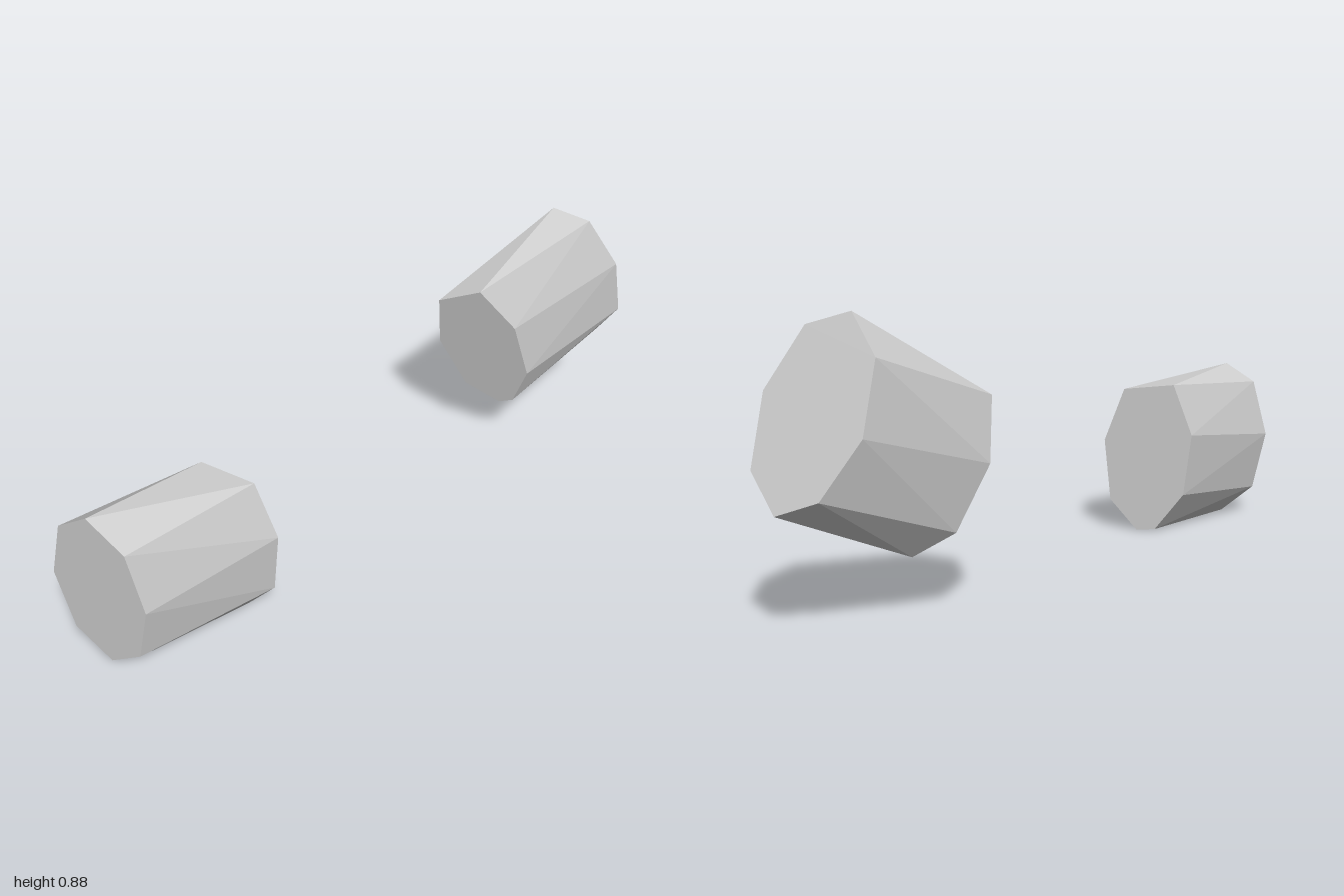
import * as THREE from 'three';

const material = new THREE.MeshStandardMaterial({ color: 0xcccccc, flatShading: true });

// Outline points [x, y] placed on the slanted plane z = base + px * x + py * y
const onPlane = (points, base, px, py) =>
  points.map(([x, y]) => [x, y, base + px * x + py * y]);

// Closed solid between two outlines of equal count, both clockwise seen from the front
function loft(name, near, far) {
  const n = near.length, index = [];
  for (let i = 0; i < n; i++) {
    const j = (i + 1) % n;
    index.push(i, j, n + j, i, n + j, n + i);            // side facets
    if (i > 0 && i < n - 1) {
      index.push(0, j, i, n, n + i, n + j);              // end caps
    }
  }
  const indexed = new THREE.BufferGeometry();
  indexed.setAttribute('position', new THREE.Float32BufferAttribute([...near, ...far].flat(), 3));
  indexed.setIndex(index);
  const geometry = indexed.toNonIndexed();
  geometry.computeVertexNormals();
  const mesh = new THREE.Mesh(geometry, material);
  mesh.name = name;
  return mesh;
}

export function createModel() {
  const group = new THREE.Group();
  group.name = 'facetedBlocks';

  // Lower block, on the model's right
  group.add(loft('rightBlock',
    onPlane([[-0.88, 0.565], [-0.79, 0.47], [-0.755, 0.265], [-0.79, 0.07],
      [-0.875, 0.003], [-0.965, 0.1], [-1, 0.305], [-0.96, 0.5]], 1.11, 0.775, 0),
    onPlane([[-0.542, 0.53], [-0.403, 0.51], [-0.348, 0.325], [-0.366, 0.11],
      [-0.443, 0.003], [-0.495, 0.01], [-0.574, 0.14], [-0.595, 0.355]], 0.62, 0.76, 0)));

  // Raised, tilted block, on the model's left
  group.add(loft('leftBlock',
    onPlane([[0.325, 0.627], [0.44, 0.69], [0.56, 0.55], [0.625, 0.345],
      [0.6, 0.2], [0.56, 0.18], [0.445, 0.25], [0.345, 0.44]], -0.703, 0.558, 0.264),
    [[0.69, 0.765, -0.505], [0.735, 0.88, -0.445], [0.845, 0.845, -0.392], [0.955, 0.677, -0.375],
      [1, 0.475, -0.403], [0.955, 0.362, -0.462], [0.85, 0.4, -0.514], [0.735, 0.56, -0.53]]));

  return group;
}
